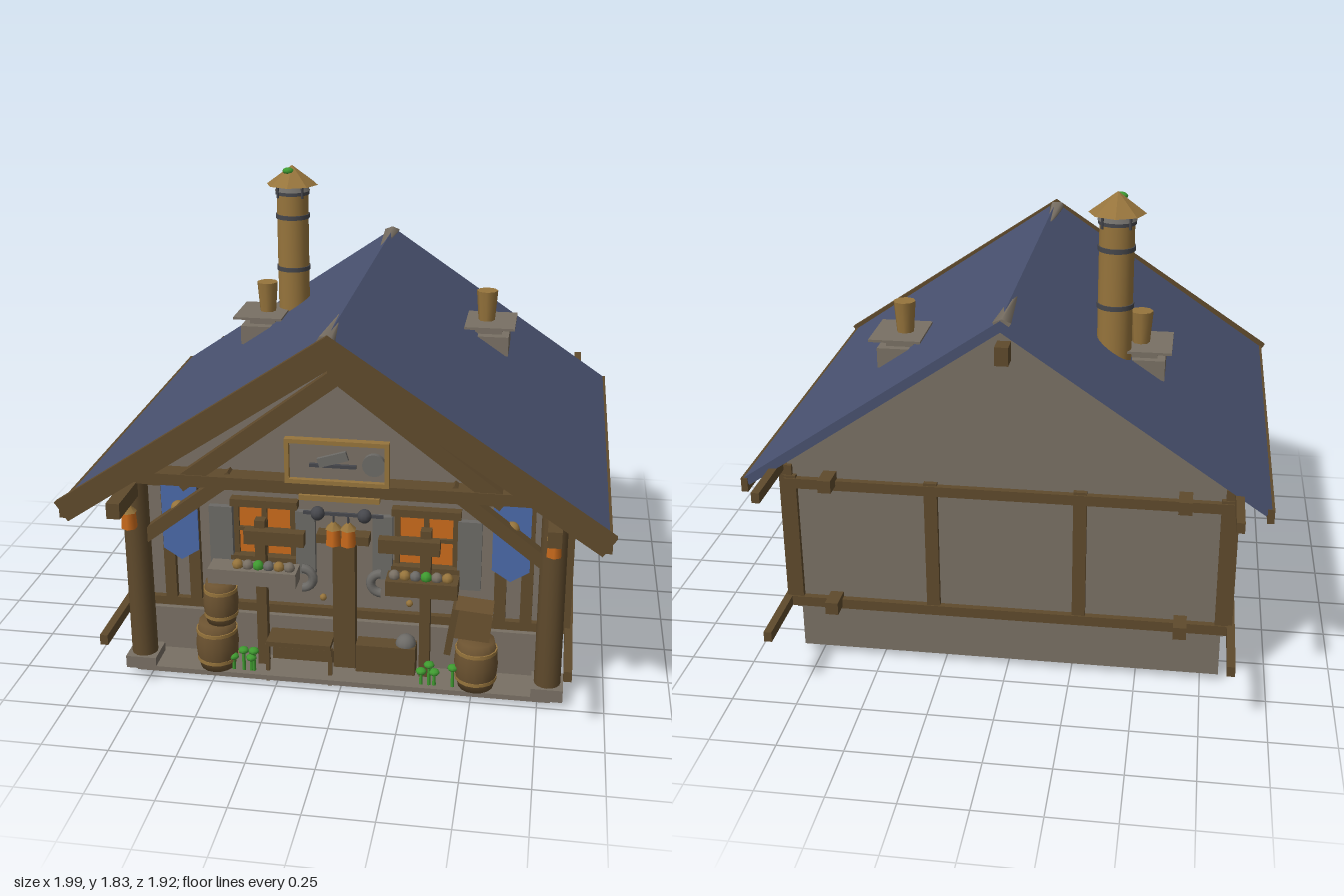
import * as THREE from 'three';

const mat = (name, color, side = THREE.FrontSide) => {
  const m = new THREE.MeshStandardMaterial({ color, side });
  m.name = name;
  return m;
};

export function createModel() {
  const root = new THREE.Group();
  root.name = 'timberCottage';
  const slate = mat('slateBlue', 0x48516f), stone = mat('wallStone', 0x797064), wood = mat('darkWood', 0x5f4a2c),
    gold = mat('brassWood', 0x96743c), glow = mat('amberGlow', 0xc96a1c), cloth = mat('bannerBlue', 0x4a69a8, THREE.DoubleSide),
    iron = mat('iron', 0x46474c), green = mat('leafGreen', 0x3f9a30), grey = mat('shutterGrey', 0x6c6a66),
    plank = mat('barrelWood', 0x6b5230);

  const add = (name, geo, m, x = 0, y = 0, z = 0, parent = root) => {
    const mesh = new THREE.Mesh(geo, m);
    mesh.name = name;
    mesh.position.set(x, y, z);
    parent.add(mesh);
    return mesh;
  };
  // box given by its limits on each axis
  const box = (name, m, x0, x1, y0, y1, z0, z1, parent) =>
    add(name, new THREE.BoxGeometry(x1 - x0, y1 - y0, z1 - z0), m, (x0 + x1) / 2, (y0 + y1) / 2, (z0 + z1) / 2, parent);
  const cyl = (name, m, rt, rb, y0, y1, x, z, n = 16, parent = root) =>
    add(name, new THREE.CylinderGeometry(rt, rb, y1 - y0, n), m, x, (y0 + y1) / 2, z, parent);
  // beam in the xy plane whose upper edge runs between two points
  const slope = (name, m, x0, y0, x1, y1, t, z0, z1) => {
    const a = Math.atan2(y1 - y0, x1 - x0), s = x1 > x0 ? 1 : -1;
    const mesh = add(name, new THREE.BoxGeometry(Math.hypot(x1 - x0, y1 - y0), t, z1 - z0), m,
      (x0 + x1) / 2 + s * Math.sin(a) * t / 2, (y0 + y1) / 2 - s * Math.cos(a) * t / 2, (z0 + z1) / 2);
    mesh.rotation.z = a;
    return mesh;
  };
  const plate = (name, m, pts, z, depth) => add(name,
    new THREE.ExtrudeGeometry(new THREE.Shape(pts.map(p => new THREE.Vector2(...p))), { depth, bevelEnabled: false }), m, 0, 0, z);
  const sides = [-1, 1];
  const span = (s, a, b) => s > 0 ? [a, b] : [-b, -a];

  // Foundation, porch floor and walls
  box('foundation', stone, -.82, .82, .03, .225, -.64, .6);
  box('porchFloor', stone, -.8, .8, .025, .045, .58, .75);
  plate('walls', stone, [[-.83, .22], [.83, .22], [.83, .88], [0, 1.43], [-.83, .88]], -.67, 1.25);

  // Roof
  for (const s of sides) {
    slope('roofSlope', slate, 0, 1.475, s * .97, .815, .035, -.76, .935);
    slope('bargeBoard', wood, 0, 1.485, s * .995, .82, .085, .935, .96);
    box('eaveBoard', wood, ...span(s, .955, .98), .76, .815, -.765, .955);
    // Timber frame along the sides
    box('floorBeam', wood, ...span(s, .84, .87), .24, .28, -.96, .94);
    box('wallPlate', wood, ...span(s, .84, .87), .82, .86, -.965, .74);
    box('sideRail', wood, ...span(s, .82, .85), .73, .77, -.68, .62);
    for (const [z0, z1] of [[.58, .63], [.175, .225], [-.24, -.19], [-.685, -.645]])
      box('sideStud', wood, ...span(s, .81, .86), .26, .84, z0, z1);
    // Back wall framing
    for (const x of [.255, .795]) box('backStud', wood, ...span(s, x, x + .05), .26, .8, -.69, -.64);
    for (const y of [.27, .79]) box('beamStub', wood, ...span(s, .64, .69), y - .02, y + .03, -.76, -.66);
    // Front wall framing
    for (const x of [.57, .67, .81]) box('frontStud', wood, ...span(s, x, x + .045), .26, .82, .57, .605);
  }
  for (const y of [.24, .75]) {
    box('backRail', wood, -.84, .84, y, y + .04, -.695, -.65);
    box('frontRail', wood, -.84, .84, y, y + .035, .57, .605);
  }
  box('ridgeBeam', wood, -.025, .025, 1.3, 1.37, -.74, .8);
  // Worn ridge caps at both ends
  for (const [z, r] of [[.775, 0], [-.605, Math.PI]]) {
    const cap = add('ridgeCap', new THREE.CylinderGeometry(.035, .012, .31, 5), stone, -.006, 1.462, z);
    cap.rotation.set(Math.PI / 2, 0, 0);
    if (r) cap.rotation.x = -Math.PI / 2;
    cap.scale.z = .55;
  }

  // Front truss, porch posts, banners and post lanterns
  box('tieBeam', wood, -.87, .87, .815, .86, .66, .74);
  const lantern = (x, y, z) => {
    const g = new THREE.Group();
    g.name = 'lantern';
    g.position.set(x, y, z);
    root.add(g);
    cyl('lanternGlass', glow, .026, .03, -.045, .02, 0, 0, 6, g);
    cyl('lanternCap', gold, .008, .032, .02, .045, 0, 0, 6, g);
    cyl('lanternHook', iron, .004, .004, .045, .08, 0, 0, 6, g);
  };
  for (const s of sides) {
    slope('trussRafter', wood, 0, 1.4, s * .86, .83, .07, .69, .74);
    slope('innerRafter', wood, 0, 1.31, s * .62, .84, .06, .69, .735);
    slope('postBrace', wood, s * .42, .87, s * .77, .6, .05, .66, .71);
    cyl('porchPost', wood, .048, .05, .08, .83, s * .785, .69);
    box('postFoot', stone, ...span(s, .725, .845), .03, .08, .625, .75);
    box('plateEnd', wood, ...span(s, .76, .81), .76, .82, .6, .94);
    lantern(s * .785, .695, .775);
    plate('banner', cloth, [[s * .56, .79], [s * .7, .79], [s * .7, .51], [s * .63, .465], [s * .56, .51]], .64, .006);
    add('bannerKnob', new THREE.SphereGeometry(.028, 12, 8), gold, s * .63, .69, .66);
    lantern(s * .028, .64, .69);
    // Small roof vents
    box('ventBlock', stone, ...span(s, .36, .56), 1.1, 1.18, -.3, -.11);
    box('ventSlab', stone, ...span(s, .38, .585), 1.215, 1.225, -.33, -.085);
    box('ventNeck', stone, ...span(s, .42, .53), 1.12, 1.22, -.27, -.15);
    cyl('ventPot', gold, .044, .034, 1.225, 1.35, s * .463, -.21, 8);
  }

  // Gable sign with a simple tool and disc
  box('signBoard', stone, -.18, .18, .88, 1.03, .745, .755);
  for (const y of [.87, 1.025]) box('signFrame', gold, -.19, .19, y, y + .016, .745, .775);
  for (const x of [-.19, .174]) box('signFrame', gold, x, x + .016, .87, 1.04, .745, .775);
  add('signDisc', new THREE.CylinderGeometry(.042, .042, .02, 16), grey, .135, .955, .765).rotation.x = Math.PI / 2;
  box('signBar', iron, -.1, .07, .935, .947, .755, .768);
  box('signHead', grey, -.07, .04, .95, .985, .755, .77).rotation.z = .3;
  box('brassStrip', gold, -.15, .15, .785, .805, .7, .73);
  for (const x of [-.085, .09]) add('hangingRing', new THREE.SphereGeometry(.027, 10, 8), iron, x, .722, .7);

  // Centre post with lantern bracket
  box('centrePost', wood, -.04, .045, .03, .59, .6, .65);
  box('lanternBracket', wood, -.1, .1, .58, .615, .6, .66);
  box('hangerBar', iron, -.14, .16, .715, .727, .69, .7);

  // Front windows with shutters, flower boxes and stalls
  for (const s of sides) {
    const w = (a, b) => span(s, a, b);
    box('windowGlass', glow, ...w(.2, .42), .48, .7, .58, .592);
    box('windowHead', wood, ...w(.18, .44), .69, .72, .58, .62);
    box('windowSill', wood, ...w(.18, .44), .465, .49, .58, .63);
    for (const x of [.19, .3, .41]) box('windowBar', wood, ...w(x, x + .02), .48, .7, .58, .605);
    box('windowBar', wood, ...w(.2, .42), .585, .6, .58, .605);
    box('shutter', grey, ...w(.43, .52), .41, .69, .605, .63);
    box('shutter', grey, ...w(.11, .185), .43, .69, .605, .63);
    const m = s < 0 ? stone : wood;
    box('flowerBox', m, ...(s < 0 ? [-.51, -.17] : [.17, .44]), .41, .47, .63, .72);
    const scroll = add('scrollBracket', new THREE.TorusGeometry(.04, .018, 8, 12, Math.PI), grey, s * .15, .44, .68);
    scroll.rotation.z = s < 0 ? -Math.PI / 2 : Math.PI / 2;
    [stone, gold, grey, green, stone, gold].forEach((c, i) =>
      add('produce', new THREE.SphereGeometry(.022, 8, 6), c, s * (.2 + i * .04), .48, .685));
    box('stallPost', wood, ...w(.295, .335), .04, .66, .63, .67);
    box('stallBoard', wood, ...w(.14, .37), .575, .63, .66, .7);
    add('boardKnob', new THREE.SphereGeometry(.014, 8, 6), gold, s < 0 ? -.085 : .25, .325, .61);
  }

  // Barrels and the tilted crate
  const barrel = (x, y, z, r, h) => {
    const g = new THREE.Group();
    g.name = 'barrel';
    g.position.set(x, y, z);
    root.add(g);
    const prof = [[0, 0], [.82, 0], [.95, .25], [1, .5], [.95, .75], [.82, 1], [0, 1]].map(p => new THREE.Vector2(p[0] * r, p[1] * h));
    add('barrelBody', new THREE.LatheGeometry(prof, 16), plank, 0, 0, 0, g);
    for (const t of [.2, .8]) cyl('barrelHoop', gold, r * .965, r * .965, h * t - .007, h * t + .007, 0, 0, 16, g);
  };
  barrel(-.49, .045, .69, .083, .195);
  barrel(-.47, .24, .69, .068, .17);
  barrel(.515, .045, .69, .083, .195);
  box('crate', plank, .43, .57, .26, .38, .63, .74).rotation.z = -.08;
  box('crateLid', wood, .41, .435, .19, .385, .63, .74).rotation.z = -.15;

  // Bench, planter chest and plants
  box('benchSeat', wood, -.29, -.04, .155, .175, .61, .72);
  for (const x of [-.295, -.05]) box('benchLeg', wood, x, x + .015, 0, .16, .7, .715);
  box('benchBack', wood, -.285, -.045, .05, .1, .61, .63);
  box('chest', wood, .05, .28, .045, .16, .6, .67);
  add('chestDome', new THREE.SphereGeometry(.04, 12, 6, 0, Math.PI * 2, 0, Math.PI / 2), grey, .24, .16, .63);
  for (const [x, y] of [[-.42, .1], [-.38, .13], [-.35, .1], [-.34, .13], [.31, .1], [.34, .13], [.36, .1], [.43, .125]]) {
    cyl('plantStem', green, .006, .008, .04, y, x, .72, 6);
    add('plantLeaf', new THREE.SphereGeometry(.021, 8, 6), green, x, y, .72).scale.y = .65;
  }

  // Right side window with open shutters
  box('sideGlass', glow, .83, .845, .55, .76, -.16, .04);
  for (const z of [-.18, -.068, .04]) box('sideWindowBar', wood, .83, .865, .54, .77, z, z + .016);
  for (const y of [.665, .755]) box('sideWindowBar', wood, .83, .865, y, y + .014, -.17, .05);
  box('sideSill', wood, .83, .89, .52, .55, -.2, .07);
  const shutterA = box('sideShutter', grey, .865, .955, .54, .75, .065, .085);
  shutterA.rotation.y = .35;
  const shutterB = box('sideShutter', grey, .865, .955, .54, .75, -.225, -.205);
  shutterB.rotation.y = -.35;

  // Chimney
  const cx = -.365, cz = -.29;
  cyl('chimneyPipe', gold, .066, .066, 1.15, 1.72, cx, cz, 20);
  for (const y of [1.4, 1.62, 1.72]) cyl('chimneyBand', iron, .071, .071, y - .01, y + .008, cx, cz, 20);
  cyl('chimneyRim', grey, .06, .074, 1.725, 1.745, cx, cz, 20);
  for (let i = 0; i < 4; i++) {
    const a = Math.PI / 4 + i * Math.PI / 2;
    cyl('capLeg', iron, .006, .006, 1.7, 1.77, cx + .073 * Math.cos(a), cz + .073 * Math.sin(a), 6);
  }
  const cap = add('chimneyCap', new THREE.ConeGeometry(.108, .08, 8).toNonIndexed(), gold, cx, 1.79, cz);
  cap.geometry.computeVertexNormals();
  add('mossTuft', new THREE.SphereGeometry(.024, 8, 6), green, cx - .012, 1.808, cz + .02).scale.y = .6;

  return root;
}
